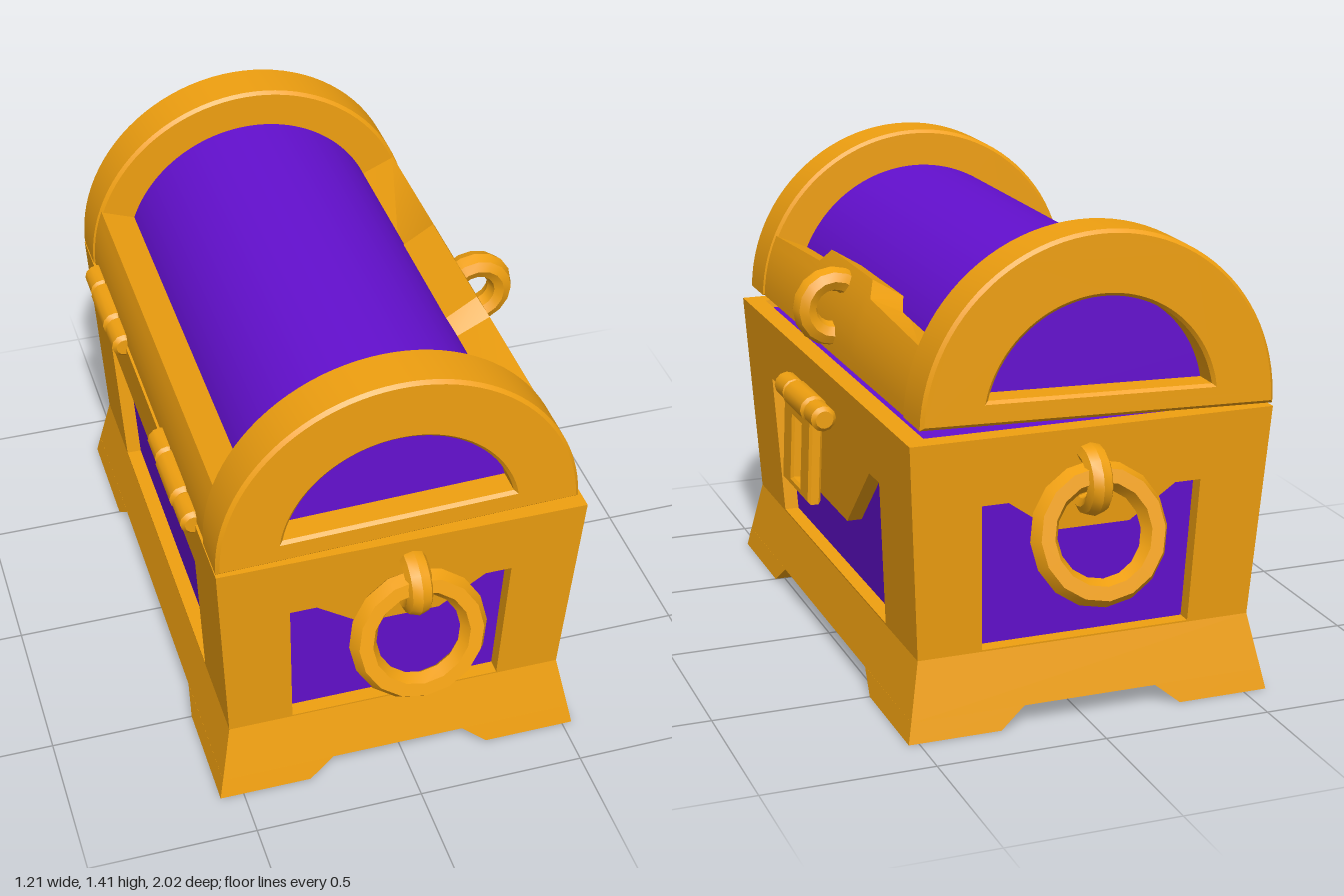
import * as THREE from 'three';
import { toCreasedNormals } from 'three/addons/utils/BufferGeometryUtils.js';

const gold = new THREE.MeshStandardMaterial({ color: 0xf0a010 });
const purple = new THREE.MeshStandardMaterial({ color: 0x6410d0 });

const WAIST = 0.225, TOP = 0.865, WALL = 0.06;
const lerp = THREE.MathUtils.lerp;
const slope = (a, b) => (y) => lerp(a, b, (y - WAIST) / (TOP - WAIST));
const halfX = slope(0.505, 0.54), halfZ = slope(0.8, 0.85);

function add(parent, name, geometry, material = gold) {
  const mesh = new THREE.Mesh(toCreasedNormals(geometry, 0.6), material);
  mesh.name = name;
  parent.add(mesh);
  return mesh;
}

function group(parent, name) {
  const g = new THREE.Group();
  g.name = name;
  parent.add(g);
  return g;
}

// Moves every vertex of a geometry by a rule
function warp(geometry, rule) {
  const p = geometry.attributes.position;
  for (let i = 0; i < p.count; i++) p.setXYZ(i, ...rule(p.getX(i), p.getY(i), p.getZ(i)));
  geometry.computeVertexNormals();
  return geometry;
}

// Block between two rectangles [x0, x1, z0, z1] at heights y0 and y1
const block = (low, y0, high, y1) =>
  warp(new THREE.BoxGeometry(1, 1, 1), (x, y, z) => {
    const v = y + 0.5;
    const edge = (i) => lerp(low[i], high[i], v);
    return [lerp(edge(0), edge(1), x + 0.5), lerp(y0, y1, v), lerp(edge(2), edge(3), z + 0.5)];
  });

const centred = (hx, hz) => [-hx, hx, -hz, hz];

// Closed path through points, mirrored across x = 0
const mirrored = (half) =>
  [...half, ...half.map(([x, y]) => [-x, y]).reverse()].map(([x, y]) => new THREE.Vector2(x, y));

// Leaning wall with a panel opening and mitred ends
function wall(width, depth, opening) {
  const shape = new THREE.Shape(mirrored([[width(WAIST), WAIST], [width(TOP), TOP]]));
  shape.holes.push(new THREE.Path(mirrored(opening)));
  const geometry = new THREE.ExtrudeGeometry(shape, { depth: WALL, bevelEnabled: false });
  return warp(geometry, (x, y, d) => {
    const inset = WALL - d;
    const atEnd = Math.abs(x) > 0.9 * width(y);
    return [atEnd ? x - Math.sign(x) * inset : x, y, depth(y) - inset];
  });
}

// Row of chamfered knuckles along z, split at the given z positions
function knuckles(parent, name, x, y, r, splits) {
  for (let i = 0; i + 1 < splits.length; i++) {
    const h = (splits[i + 1] - splits[i]) / 2, c = 0.012, R = i === 1 ? r : r * 0.92;
    const profile = [[0, -h], [R - c, -h], [R, c - h], [R, h - c], [R - c, h], [0, h]];
    const g = new THREE.LatheGeometry(profile.map((p) => new THREE.Vector2(...p)), 12);
    g.rotateX(Math.PI / 2);
    add(parent, name, g).position.set(x, y, (splits[i] + splits[i + 1]) / 2);
  }
}

function buildBody(parent) {
  const body = group(parent, 'body');
  body.position.x = -0.02;

  // Flared plinth and four splayed feet
  add(body, 'plinth', block(centred(0.538, 0.837), 0.06, centred(0.505, 0.8), WAIST));
  for (const sx of [-1, 1]) for (const sz of [-1, 1]) {
    const rect = (xi, xo, zi, zo) =>
      [...(sx > 0 ? [xi, xo] : [-xo, -xi]), ...(sz > 0 ? [zi, zo] : [-zo, -zi])];
    add(body, 'foot', block(rect(0.275, 0.55, 0.5, 0.85), 0, rect(0.2, 0.538, 0.42, 0.837), 0.061));
  }

  // Recessed panels
  const y1 = 0.84, inset = 0.045;
  add(body, 'panels', block(centred(halfX(WAIST) - inset, halfZ(WAIST) - inset), WAIST - 0.01,
    centred(halfX(y1) - inset, halfZ(y1) - inset), y1), purple);

  // Frames: notched at the ends and front, plain at the back
  const endHole = [[0.315, 0.23], [0.328, 0.668], [0.25, 0.668], [0.115, 0.57]];
  const frontHole = [[0.52, 0.23], [0.55, 0.668], [0.46, 0.668], [0.2, 0.435]];
  const backHole = [[0.52, 0.23], [0.55, 0.668]];
  add(body, 'leftEndFrame', wall(halfX, halfZ, endHole));
  add(body, 'rightEndFrame', wall(halfX, halfZ, endHole)).rotation.y = Math.PI;
  add(body, 'latchSideFrame', wall(halfZ, halfX, frontHole)).rotation.y = Math.PI / 2;
  add(body, 'hingeSideFrame', wall(halfZ, halfX, backHole)).rotation.y = -Math.PI / 2;
}

// Curved rail of the lid; reach holds its angle in degrees at each z station
function rail(stations, reach, fromBack) {
  const n = stations.length - 1;
  return warp(new THREE.BoxGeometry(1, 1, 1, 1, 6, n), (u, v, w) => {
    const i = Math.round((w + 0.5) * n);
    const span = THREE.MathUtils.degToRad(reach[i]);
    const a = (fromBack ? Math.PI - span : 0) + (v + 0.5) * span;
    const r = lerp(0.39, 0.52, u + 0.5);
    return [r * Math.cos(a), r * Math.sin(a), stations[i]];
  });
}

function buildLid(parent) {
  const lid = group(parent, 'lid');
  lid.position.set(-0.035, 0.89, 0);
  lid.rotation.z = 0.03;

  // End arches with half-round windows
  const arch = new THREE.Shape().absarc(0, 0, 0.525, 0, Math.PI);
  const a = Math.asin(0.07 / 0.34);
  arch.holes.push(new THREE.Path().absarc(0, 0, 0.34, a, Math.PI - a));
  const bevel = { bevelSize: 0.01, bevelOffset: -0.01, bevelThickness: 0.01, bevelSegments: 1 };
  for (const z of [0.71, -0.845]) {
    const g = new THREE.ExtrudeGeometry(arch, { depth: 0.135, curveSegments: 24, ...bevel });
    add(lid, 'endArch', g).position.z = z;
  }

  // Barrel top
  const half = new THREE.Shape().absarc(0, 0, 0.41, 0, Math.PI);
  const barrel = new THREE.ExtrudeGeometry(half, { depth: 1.54, curveSegments: 32, bevelEnabled: false });
  add(lid, 'barrel', barrel, purple).position.z = -0.77;

  // Lower rails, the front one rising to a tab
  add(lid, 'frontRail', rail([-0.71, -0.25, -0.2, 0.2, 0.25, 0.71], [22, 24.5, 30, 30, 24.5, 22], false));
  add(lid, 'backRail', rail([-0.71, 0.71], [21.5, 21.5], true));
}

function buildLatch(parent) {
  const latch = group(parent, 'latch');
  knuckles(latch, 'latchPin', 0.56, 0.755, 0.042, [-0.2, -0.1, 0.1, 0.21]);

  // Slotted hasp plate
  const rect = (C, w, y0, y1) => new C([[-w, y0], [w, y0], [w, y1], [-w, y1]].map((p) => new THREE.Vector2(...p)));
  const plate = rect(THREE.Shape, 0.138, -0.28, -0.01);
  plate.holes.push(rect(THREE.Path, 0.045, -0.25, -0.06));
  const g = new THREE.ExtrudeGeometry(plate, {
    depth: 0.024, bevelSize: 0.008, bevelOffset: -0.008, bevelThickness: 0.008, bevelSegments: 1,
  });
  g.translate(0, 0, -0.012).rotateY(Math.PI / 2);
  const hasp = add(latch, 'hasp', g);
  hasp.position.set(0.565, 0.755, 0);
  hasp.rotation.z = 0.045;

  // Lock loop on the lid
  const loop = add(latch, 'lockLoop', new THREE.TorusGeometry(0.083, 0.037, 8, 16).scale(1, 1, 1.25));
  loop.position.set(0.475, 1.045, -0.01);
}

function buildHandle(parent, name, turn) {
  const handle = group(parent, name);
  handle.rotation.y = turn;
  const ring = add(handle, 'pullRing', new THREE.TorusGeometry(0.164, 0.04, 6, 16));
  ring.position.set(0, 0.582, 0.928);
  ring.rotation.x = -0.26;
  const staple = new THREE.TorusGeometry(0.075, 0.03, 8, 16).scale(1, 1, 1.3).rotateY(Math.PI / 2);
  add(handle, 'staple', staple).position.set(0.005, 0.715, 0.845);
}

export function createModel() {
  const chest = new THREE.Group();
  chest.name = 'treasureChest';
  buildBody(chest);
  buildLid(chest);
  buildLatch(chest);
  buildHandle(chest, 'leftHandle', 0);
  buildHandle(chest, 'rightHandle', Math.PI);
  knuckles(chest, 'hinge', -0.562, 0.868, 0.042, [-0.66, -0.55, -0.36, -0.245]);
  knuckles(chest, 'hinge', -0.562, 0.868, 0.042, [0.205, 0.32, 0.51, 0.62]);
  return chest;
}
